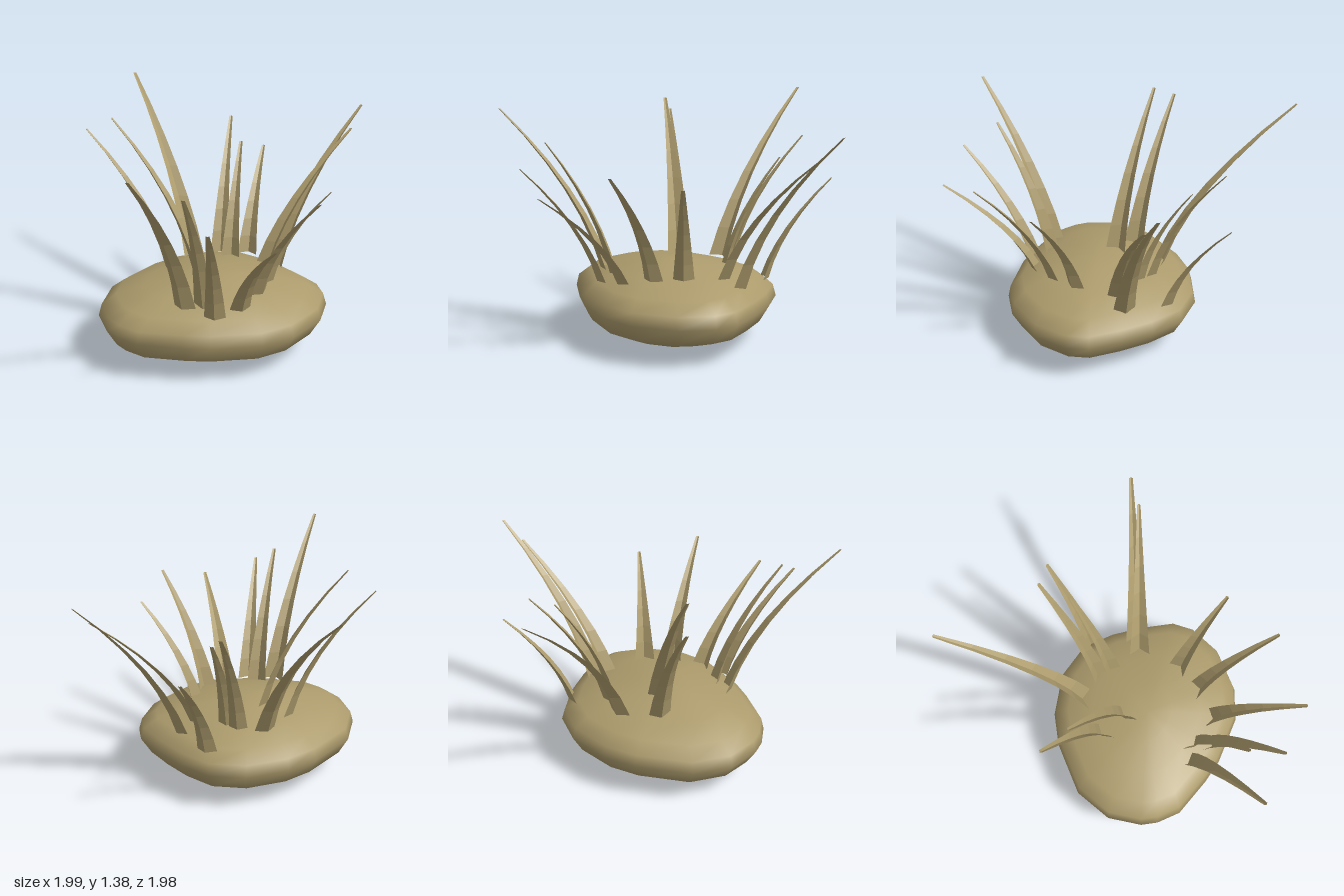
import * as THREE from 'three';

const strawMat = new THREE.MeshStandardMaterial({ color: 0xac9b6c, side: THREE.DoubleSide });
strawMat.name = 'dry straw';

function makeGeometry(positions, indices) {
  const g = new THREE.BufferGeometry();
  g.setAttribute('position', new THREE.Float32BufferAttribute(positions, 3));
  g.setIndex(indices);
  return g;
}

// Rounded mound: one lumpy outline scaled up through a height profile
function moundGeometry() {
  const outline = [
    [-0.77, 0], [-0.7, -0.19], [-0.52, -0.35], [-0.2, -0.43], [0, -0.43], [0.25, -0.35],
    [0.41, -0.2], [0.47, 0], [0.49, 0.2], [0.49, 0.4], [0.43, 0.52], [0.26, 0.65],
    [0, 0.71], [-0.2, 0.68], [-0.45, 0.53], [-0.56, 0.43], [-0.73, 0.24], [-0.77, 0.1],
  ];
  const rings = [ // height, scale
    [0.05, 0.57], [0.14, 0.91], [0.24, 1], [0.31, 0.97], [0.37, 0.84], [0.42, 0.58], [0.46, 0.27],
  ];
  const cx = -0.14, cz = 0.13, n = outline.length;
  const pos = [], idx = [];
  for (const [y, s] of rings)
    for (const [x, z] of outline) pos.push(cx + (x - cx) * s, y, cz + (z - cz) * s);
  const bottom = pos.length / 3, top = bottom + 1, last = (rings.length - 1) * n;
  pos.push(-0.2, 0, 0.08, cx, 0.47, cz);
  for (let i = 0; i < n; i++) {
    const j = (i + 1) % n;
    idx.push(bottom, j, i, top, last + i, last + j);
    for (let r = 0; r < last; r += n)
      idx.push(r + i, r + j, r + n + i, r + j, r + n + j, r + n + i);
  }
  // the outline runs clockwise from above, so flip every face outward
  for (let k = 0; k < idx.length; k += 3) [idx[k + 1], idx[k + 2]] = [idx[k + 2], idx[k + 1]];
  const g = makeGeometry(pos, idx);
  g.computeVertexNormals();
  return g;
}

// Tapering blade folded along its middle, steep at the root and bending outward
function bladeGeometry([bx, by, bz, tx, ty, tz, width = 0.13]) {
  const steps = 6, pos = [], idx = [];
  const out = new THREE.Vector2(tx - bx, tz - bz).normalize();
  for (let i = 0; i <= steps; i++) {
    const t = i / steps, h = 0.45 * t + 0.55 * t * t;
    const half = THREE.MathUtils.lerp(width, 0.02, t) / 2;
    const x = bx + (tx - bx) * h, y = by + (ty - by) * t, z = bz + (tz - bz) * h;
    for (const [side, depth] of [[-1, -0.25], [0, 0.4], [1, -0.25]])
      pos.push(x + (-out.y * side + out.x * depth) * half, y, z + (out.x * side + out.y * depth) * half);
  }
  for (let i = 0; i < steps; i++)
    for (let k = 0; k < 2; k++) {
      const a = i * 3 + k, b = a + 1, c = a + 3, d = a + 4;
      idx.push(a, c, b, b, c, d);
    }
  const g = makeGeometry(pos, idx).toNonIndexed();
  g.computeVertexNormals();
  return g;
}

export function createModel() {
  const model = new THREE.Group();
  model.name = 'grassTuft';

  const mound = new THREE.Mesh(moundGeometry(), strawMat);
  mound.name = 'mound';
  model.add(mound);

  // root x, y, z, tip x, y, z, optional root width
  const blades = [
    [0.01, 0.42, -0.22, 0.14, 1.38, -0.99],
    [-0.22, 0.42, -0.14, -0.53, 1.25, -0.51],
    [-0.14, 0.45, 0.01, -0.46, 1.34, -0.35],
    [0.14, 0.43, -0.12, 0.46, 1.17, -0.41, 0.11],
    [0.37, 0.36, -0.13, 0.68, 0.95, -0.35, 0.12],
    [0.16, 0.43, -0.04, 0.4, 1.06, -0.24, 0.11],
    [0.27, 0.41, 0.145, 0.88, 1.16, 0.22, 0.12],
    [0.37, 0.365, 0.14, 0.99, 1.28, 0.19, 0.13],
    [0.12, 0.43, 0.36, 0.3, 1.01, 0.65, 0.12],
    [-0.03, 0.425, 0.45, 0, 1.08, 0.88, 0.12],
    [-0.21, 0.395, 0.5, -0.39, 0.95, 0.98, 0.12],
    [-0.37, 0.38, 0.47, -0.67, 1.05, 0.79, 0.12],
    [-0.36, 0.4, 0.36, -0.66, 1.17, 0.58, 0.12],
    [-0.46, 0.41, 0.31, -0.99, 1.34, 0.58, 0.13],
  ];
  blades.forEach((b, i) => {
    const blade = new THREE.Mesh(bladeGeometry(b), strawMat);
    blade.name = `blade${i + 1}`;
    model.add(blade);
  });
  return model;
}
